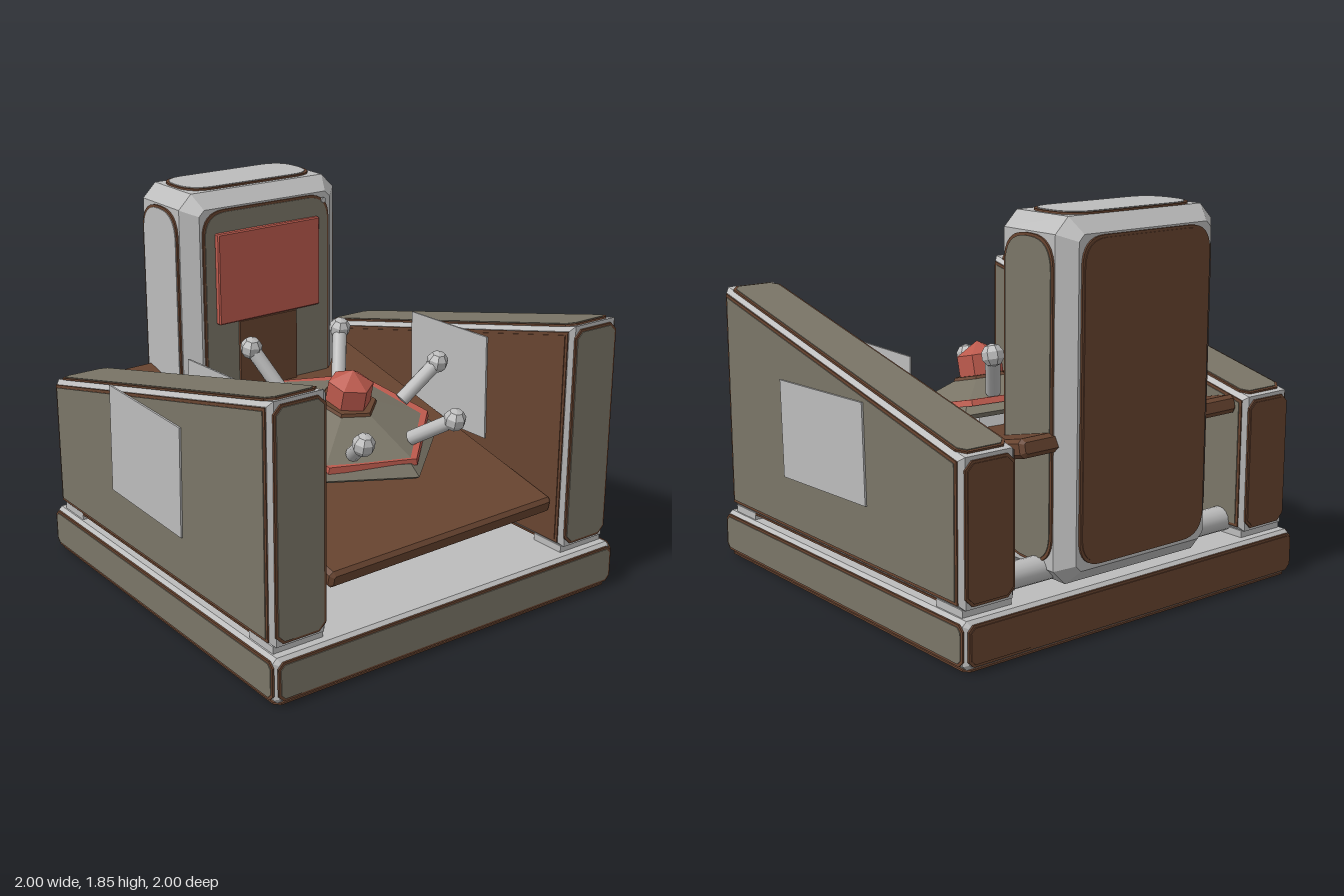
import * as THREE from 'three';

const mat = (name, color, side = THREE.FrontSide) => {
  const m = new THREE.MeshStandardMaterial({ color, side });
  m.name = name;
  return m;
};

export function createModel() {
  const grey = mat('lightGrey', 0xbcbcbc);
  const taupe = mat('taupe', 0x7a7567);
  const brown = mat('brown', 0x684430);
  const red = mat('red', 0xbc5a4d);
  const model = new THREE.Group();
  model.name = 'machine';

  const add = (parent, name, geo, material, pos = [0, 0, 0], rot = [0, 0, 0]) => {
    const mesh = new THREE.Mesh(geo, material);
    mesh.name = name;
    mesh.position.set(...pos);
    mesh.rotation.set(...rot);
    parent.add(mesh);
    return mesh;
  };
  // faceted solid: flat normals on every side
  const faceted = (geo) => {
    const g = geo.index ? geo.toNonIndexed() : geo;
    g.computeVertexNormals();
    return g;
  };

  // rectangle with cut or rounded corners
  const rect = (w, h, c, round = false) => {
    const s = new THREE.Shape(), x = w / 2, y = h / 2;
    const corner = (cx, cy, ex, ey) => (round ? s.quadraticCurveTo(cx, cy, ex, ey) : s.lineTo(ex, ey));
    s.moveTo(-x + c, -y);
    s.lineTo(x - c, -y); corner(x, -y, x, -y + c);
    s.lineTo(x, y - c); corner(x, y, x - c, y);
    s.lineTo(-x + c, y); corner(-x, y, -x, y - c);
    s.lineTo(-x, -y + c); corner(-x, -y, -x + c, -y);
    return s;
  };
  const poly = (pts) => new THREE.Shape(pts.map(([x, y]) => new THREE.Vector2(x, y)));

  // solid with chamfered edges, centred in depth
  const chamfered = (shape, depth, c) => new THREE.ExtrudeGeometry(shape, {
    depth: depth - 2 * c, bevelEnabled: true, bevelSegments: 1, bevelSize: c,
    bevelThickness: c, bevelOffset: -c, curveSegments: 6,
  }).translate(0, 0, c - depth / 2);
  const plate = (shape, depth) => new THREE.ExtrudeGeometry(shape, { depth, bevelEnabled: false, curveSegments: 8 });

  // inset panel: brown rim with a coloured plate on it, facing local +z
  const panel = (parent, name, w, h, c, round, material, pos, rot) => {
    const g = new THREE.Group();
    g.name = name;
    g.position.set(...pos);
    g.rotation.set(...rot);
    add(g, name + 'Rim', plate(rect(w + 0.024, h + 0.024, c + 0.006, round), 0.009), brown);
    add(g, name + 'Face', plate(rect(w, h, c, round), 0.004), material, [0, 0, 0.009]);
    parent.add(g);
  };
  const H = Math.PI / 2;

  // base
  const base = new THREE.Group();
  base.name = 'base';
  model.add(base);
  add(base, 'baseBody', chamfered(rect(1.975, 0.215, 0.02), 1.975, 0.02), grey, [0, 0.121, 0]);
  panel(base, 'baseFront', 1.93, 0.16, 0.02, false, taupe, [0, 0.123, 0.987], [0, 0, 0]);
  panel(base, 'baseBack', 1.93, 0.16, 0.02, false, brown, [0, 0.123, -0.987], [0, Math.PI, 0]);
  for (const s of [-1, 1])
    panel(base, 'baseSide', 1.93, 0.16, 0.02, false, taupe, [s * 0.987, 0.123, 0], [0, s * H, 0]);
  panel(base, 'baseBottom', 1.93, 1.93, 0.02, false, taupe, [0, 0.0135, 0], [H, 0, 0]);

  // side walls with a sloping top
  const slope = Math.atan2(0.445, 1.89);
  const outline = [[-0.945, 0.262], [0.945, 0.262], [0.945, 1.362], [-0.945, 0.917]];
  const inset = (d) => [[-0.945 + d, 0.262 + d], [0.945 - d, 0.262 + d],
    [0.945 - d, 1.362 - 1.25 * d], [-0.945 + d, 0.917 - 0.8 * d]];
  for (const s of [-1, 1]) {
    const wall = new THREE.Group();
    wall.name = s > 0 ? 'leftWall' : 'rightWall';
    model.add(wall);
    const x = s * 0.83;
    add(wall, 'wallBody', chamfered(poly(outline), 0.29, 0.022), grey, [x, 0, 0], [0, -H, 0]);
    // outer and inner side panels
    for (const f of [-1, 1]) {
      const face = f === s ? 'outer' : 'inner';
      const flip = (pts) => (f > 0 ? pts.map(([z, y]) => [-z, y]).reverse() : pts);
      const m = face === 'inner' && s > 0 ? brown : taupe;
      add(wall, face + 'Rim', plate(poly(flip(inset(0.022))), 0.006), brown, [x + f * 0.145, 0, 0], [0, f * H, 0]);
      add(wall, face + 'Panel', plate(poly(flip(inset(0.036))), 0.004), m, [x + f * 0.151, 0, 0], [0, f * H, 0]);
    }
    panel(wall, 'wallFront', 0.235, 1.045, 0.03, false, taupe, [x, 0.81, 0.945], [0, 0, 0]);
    panel(wall, 'wallBack', 0.235, 0.6, 0.03, false, brown, [x, 0.588, -0.945], [0, Math.PI, 0]);
    panel(wall, 'wallTop', 0.235, 1.87, 0.03, false, taupe, [x, 1.1395, 0], [-H - slope, 0, 0]);
    panel(wall, 'wallBottom', 0.235, 1.83, 0.03, false, brown, [x, 0.262, 0], [H, 0, 0]);
    for (const z of [-0.84, 0.84])
      add(wall, 'wallFoot', new THREE.BoxGeometry(0.26, 0.035, 0.18), grey, [x, 0.245, z]);
  }
  // loose grey plates on the walls
  const sheet = (name, z0, z1, y0, y1, x, tilt) =>
    add(model, name, new THREE.BoxGeometry(0.009, y1 - y0, z1 - z0), grey, [x, (y0 + y1) / 2, (z0 + z1) / 2], [tilt, 0, 0]);
  sheet('leftOuterPlate', -0.27, 0.41, 0.545, 1.01, 0.99, 0.03);
  sheet('rightOuterPlate', -0.35, 0.27, 0.53, 1.06, -0.99, 0.03);
  sheet('rightInnerPlate', -0.16, 0.63, 0.63, 1.19, -0.668, -0.03);
  sheet('leftInnerPlate', -0.17, 0.4, 0.65, 1.17, 0.668, -0.02);

  // rear tower
  const tower = new THREE.Group();
  tower.name = 'tower';
  model.add(tower);
  add(tower, 'towerBody', chamfered(rect(0.91, 1.6, 0.07), 0.475, 0.07), grey, [0, 1.04, -0.742]);
  panel(tower, 'towerFront', 0.72, 1.41, 0.12, true, taupe, [0, 1.045, -0.505], [0, 0, 0]);
  panel(tower, 'towerBack', 0.72, 1.41, 0.12, true, brown, [0, 1.045, -0.98], [0, Math.PI, 0]);
  panel(tower, 'towerLeft', 0.3, 1.41, 0.14, true, taupe, [0.455, 1.045, -0.745], [0, H, 0]);
  panel(tower, 'towerRight', 0.3, 1.41, 0.14, true, grey, [-0.455, 1.045, -0.745], [0, -H, 0]);
  panel(tower, 'towerTop', 0.72, 0.29, 0.13, true, grey, [0, 1.84, -0.755], [-H, 0, 0]);
  add(tower, 'screen', chamfered(rect(0.61, 0.455, 0.006), 0.035, 0.006), red, [-0.005, 1.425, -0.482], [0, 0.025, 0]);
  add(tower, 'lowerPanel', new THREE.BoxGeometry(0.34, 0.42, 0.02), brown, [-0.01, 0.98, -0.488]);
  for (const y of [0.365, 1.73])
    add(tower, 'screw', new THREE.CylinderGeometry(0.014, 0.014, 0.008, 8), grey, [0.335, y, -0.489], [H, 0, 0]);

  // cross rod behind the table
  add(model, 'crossRod', new THREE.CylinderGeometry(0.06, 0.06, 1.4, 16), grey, [0, 0.3, -0.81], [0, 0, H]);

  // tilted table, slightly askew
  const tilt = Math.atan(0.24);
  const table = new THREE.Group();
  table.name = 'table';
  table.position.set(0, 0.715, 0);
  table.rotation.x = tilt;
  model.add(table);
  add(table, 'tableTop', chamfered(rect(1.32, 0.085, 0.018), 1.85, 0.018), brown, [0, -0.043, 0], [0, 0.022, 0]);

  // six-sided turntable
  const hub = new THREE.Group();
  hub.name = 'turntable';
  hub.position.set(0, 0, 0.115);
  table.add(hub);
  const hex = (name, rTop, rBottom, y0, y1, material, turn) =>
    add(hub, name, faceted(new THREE.CylinderGeometry(rTop, rBottom, y1 - y0, 6)), material, [0, (y0 + y1) / 2, 0], [0, turn, 0]);
  hex('pedestal', 0.2, 0.2, 0, 0.08, grey, 0.19);
  hex('lowerDisc', 0.49, 0.47, 0.065, 0.085, taupe, 0.19);
  hex('discBevel', 0.43, 0.49, 0.085, 0.125, taupe, 0.19);
  hex('redRing', 0.435, 0.445, 0.115, 0.145, red, 0.26).rotation.z = 0.02;
  hex('dome', 0.15, 0.425, 0.14, 0.235, taupe, 0.22);
  hex('collar', 0.14, 0.15, 0.23, 0.25, brown, 0.2);
  hex('knob', 0.11, 0.11, 0.25, 0.35, red, 0.1);
  hex('knobTip', 0.001, 0.11, 0.35, 0.415, red, 0.1);

  // radial arms with ball ends
  const up = new THREE.Vector3(0, 1, 0);
  for (let i = 0; i < 6; i++) {
    const a = (i * Math.PI) / 3;
    const at = (r, y) => new THREE.Vector3(Math.cos(a) * r, y, Math.sin(a) * r);
    const p = at(0.34, 0.17), q = at(0.53, 0.345);
    const arm = add(hub, 'arm', new THREE.CylinderGeometry(0.036, 0.036, p.distanceTo(q), 12), grey,
      p.clone().add(q).multiplyScalar(0.5).toArray());
    arm.quaternion.setFromUnitVectors(up, q.clone().sub(p).normalize());
    add(hub, 'armBall', faceted(new THREE.SphereGeometry(0.055, 7, 5)), grey, q.toArray());
  }
  return model;
}
